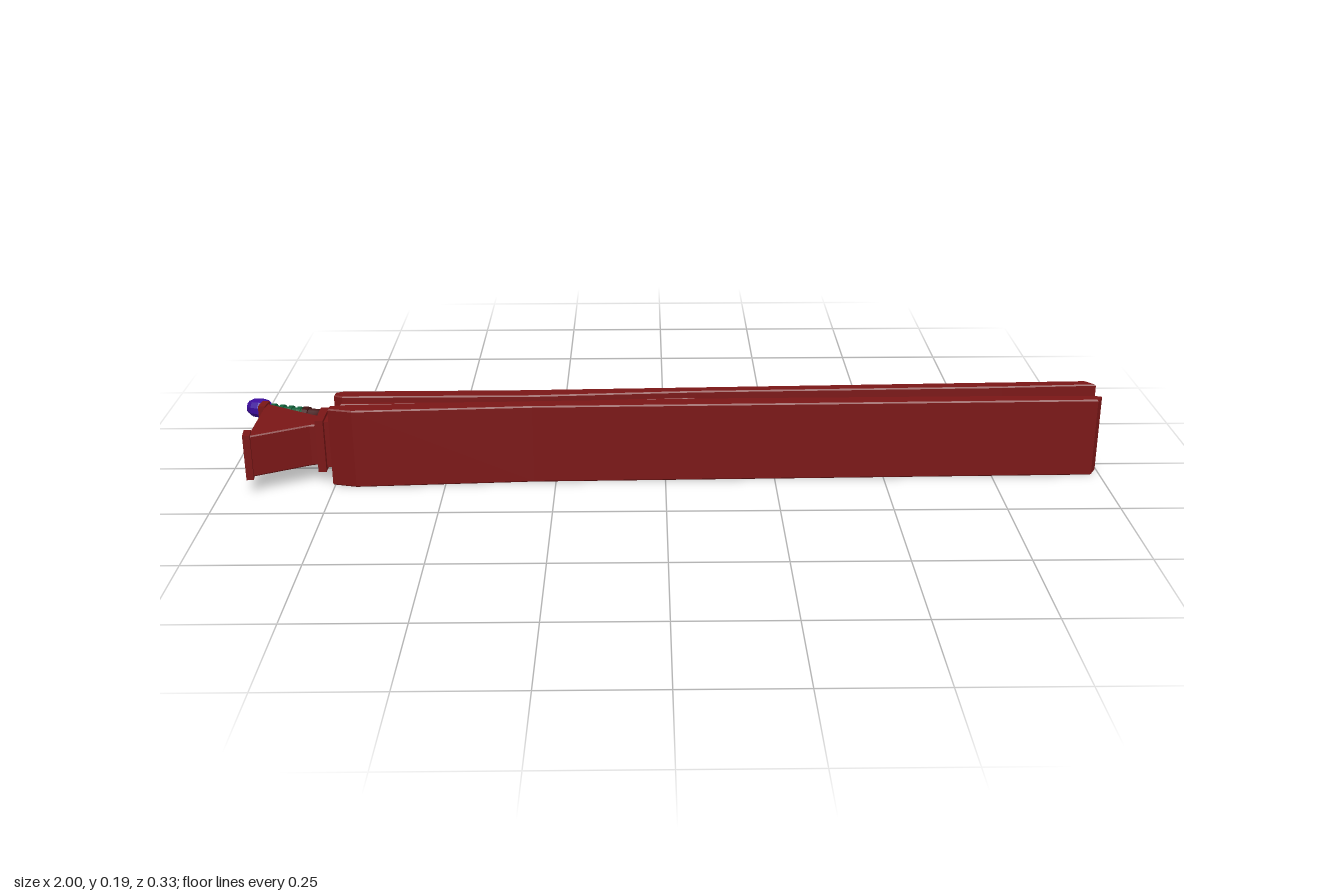
import * as THREE from 'three';

const RED = 0x7a1616, BLACK = 0x161616, BROWN = 0x421212, GREEN = 0x11603a, PURPLE = 0x3c0c9c;

const material = (color, flatShading = false) =>
  new THREE.MeshStandardMaterial({ color, flatShading, side: THREE.DoubleSide });

function addMesh(parent, name, geometry, color, flat = false) {
  const mesh = new THREE.Mesh(geometry, material(color, flat));
  mesh.name = name;
  parent.add(mesh);
  return mesh;
}

const toPoints = (list) => list.map(([x, z]) => new THREE.Vector2(x, z));

// Upright prism between y0 and y1 from an outline in plan (x, z)
function prism(outline, y0, y1, bevel = 0, hole = null) {
  const shape = new THREE.Shape(toPoints(outline));
  if (hole) shape.holes.push(new THREE.Path(toPoints(hole)));
  const geometry = new THREE.ExtrudeGeometry(shape, {
    depth: y1 - y0 - 2 * bevel,
    bevelEnabled: bevel > 0, bevelSize: bevel, bevelThickness: bevel,
    bevelOffset: -bevel, bevelSegments: 1,
  });
  geometry.rotateX(Math.PI / 2);
  geometry.translate(0, y1 - bevel, 0);
  return geometry;
}

export function createModel() {
  const model = new THREE.Group();
  const midY = 0.094;

  // Long side slabs, slightly splayed toward the mouth
  addMesh(model, 'frontSlab', prism([
    [-0.755, 0.078], [-0.735, 0.072], [-0.3, 0.052], [0.1, 0.04], [0.78, 0.034],
    [0.995, 0.04], [0.98, 0.066], [-0.3, 0.088], [-0.7, 0.112], [-0.755, 0.098],
  ], 0, 0.185, 0.003), RED);
  addMesh(model, 'backSlab', prism([
    [-0.755, -0.008], [-0.735, -0.016], [-0.35, -0.018], [0.98, -0.06], [1.0, -0.034],
    [0.78, -0.022], [0.07, -0.003], [-0.3, 0.02], [-0.735, 0.021], [-0.755, 0.012],
  ], 0, 0.185, 0.003), RED);

  // Raised ridge along the inside of the back slab
  addMesh(model, 'innerRidge', prism([
    [-0.74, 0.015], [-0.3, 0.015], [0.07, -0.008], [0.07, 0.003], [-0.3, 0.027], [-0.74, 0.032],
  ], 0.015, 0.17, 0.003), RED);

  // Dark forked core held between the slabs, with a slit through it
  addMesh(model, 'core', prism([
    [-0.75, 0.016], [-0.3, 0.016], [0.07, -0.006], [0.78, -0.024], [0.96, -0.032],
    [0.78, 0.01], [0.98, 0.041], [0.78, 0.037], [0.1, 0.043], [-0.3, 0.055], [-0.75, 0.08],
  ], 0.08, 0.15, 0, [[-0.4, 0.036], [-0.33, 0.042], [-0.32, 0.035]]), BLACK);

  // Flared stock with two end lips
  const stock = new THREE.Group();
  stock.name = 'flaredStock';
  model.add(stock);
  addMesh(stock, 'flare', prism([
    [-0.775, 0.03], [-0.775, 0.084], [-0.8, 0.09], [-0.925, 0.155], [-0.925, -0.05], [-0.8, 0.024],
  ], 0.045, 0.143, 0.003), RED);
  for (const side of [-1, 1]) {
    const lip = addMesh(stock, 'flareLip', new THREE.BoxGeometry(0.016, 0.106, 0.036), RED);
    lip.position.set(-0.928, midY, 0.053 + side * 0.09);
    lip.rotation.y = side * 0.12;
  }
  const collar = addMesh(stock, 'collar', new THREE.BoxGeometry(0.018, 0.124, 0.085), RED);
  collar.position.set(-0.777, midY, 0.055);
  const neck = addMesh(stock, 'neck', new THREE.BoxGeometry(0.04, 0.11, 0.068), RED);
  neck.position.set(-0.757, midY, 0.05);

  // Curved hose leaving the back of the neck
  const bend = new THREE.CatmullRomCurve3([
    [-0.762, 0.02], [-0.768, -0.02], [-0.78, -0.065], [-0.803, -0.094], [-0.845, -0.108],
  ].map(([x, z]) => new THREE.Vector3(x, midY, z)));
  addMesh(model, 'hose', new THREE.TubeGeometry(bend, 24, 0.0135, 10), BROWN);

  // Ringed grip and knob, turned on one axis that continues the hose
  const handle = new THREE.Group();
  handle.name = 'handle';
  handle.position.set(-0.84, midY, -0.106);
  const axis = new THREE.Vector3(-0.13, 0, -0.042).normalize();
  handle.quaternion.setFromUnitVectors(new THREE.Vector3(0, 1, 0), axis);
  model.add(handle);

  const cuff = addMesh(handle, 'cuff', new THREE.CylinderGeometry(0.017, 0.017, 0.014, 10), BROWN, true);
  cuff.position.y = 0.006;
  const grip = addMesh(handle, 'grip', new THREE.CylinderGeometry(0.01, 0.012, 0.1, 10), GREEN);
  grip.position.y = 0.055;
  for (let i = 0; i < 4; i++) {
    const ring = addMesh(handle, 'gripRing', new THREE.CylinderGeometry(0.015, 0.015, 0.01, 10), GREEN, true);
    ring.position.y = 0.024 + i * 0.023;
  }
  const knobProfile = toPoints([
    [0, 0.1], [0.012, 0.1], [0.021, 0.112], [0.0235, 0.126], [0.0225, 0.144], [0.015, 0.158], [0, 0.163],
  ]);
  addMesh(handle, 'knob', new THREE.LatheGeometry(knobProfile, 10), PURPLE, true);

  return model;
}
